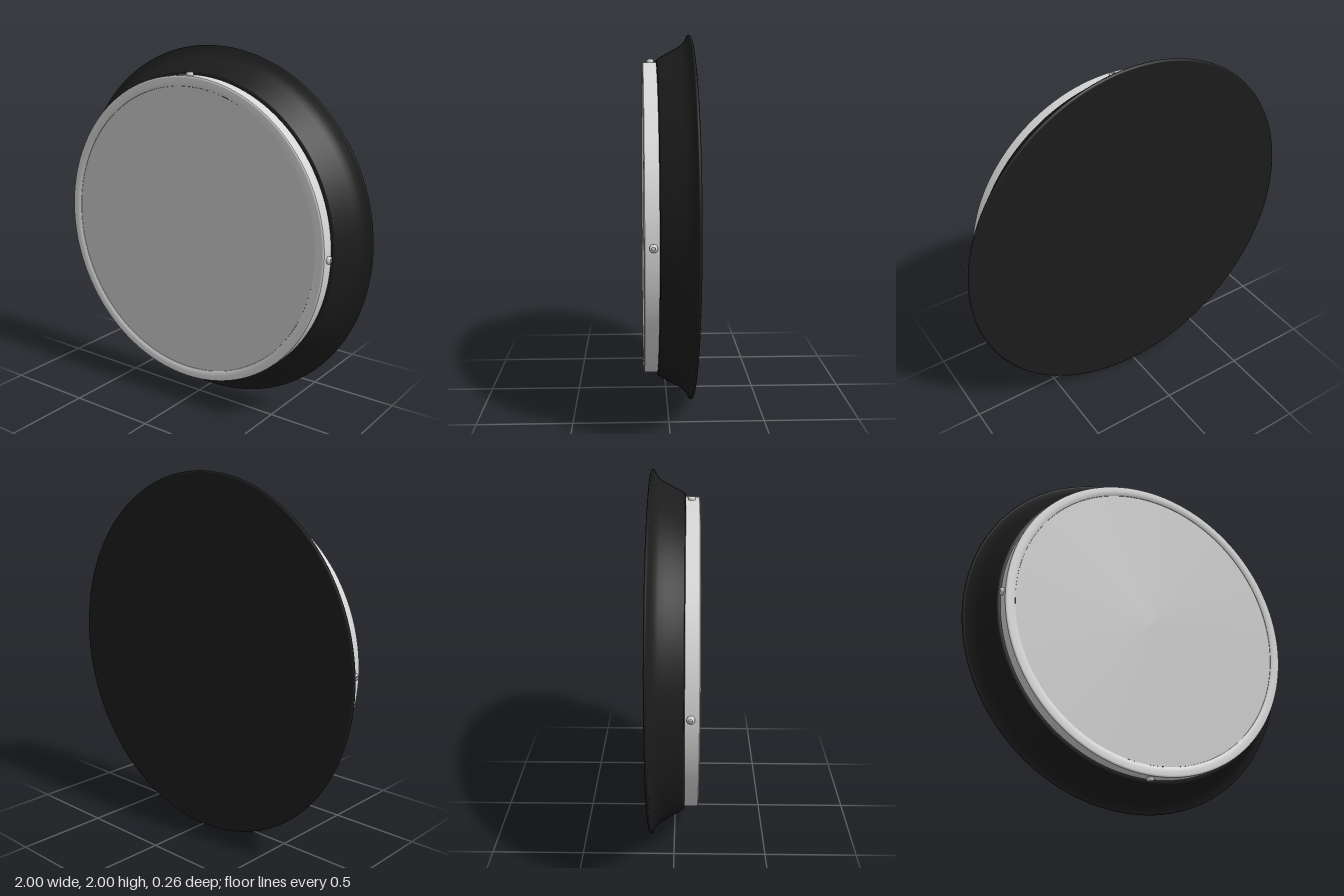
import * as THREE from 'three';

const v = (r, z) => new THREE.Vector2(r, z);

// Revolve sections of (radius, z) points around the z axis; each section is smooth, edges between them stay sharp
function revolve(name, material, sections, segments = 128) {
  const group = new THREE.Group();
  group.name = name;
  sections.forEach((pts) => {
    const geo = new THREE.LatheGeometry(pts.map(([r, z]) => v(r, z)), segments);
    geo.rotateX(Math.PI / 2);
    const mesh = new THREE.Mesh(geo, material);
    mesh.name = name + 'Surface';
    group.add(mesh);
  });
  return group;
}

export function createModel() {
  const black = new THREE.MeshStandardMaterial({ color: 0x1c1c1c });
  black.name = 'matteBlack';
  const silver = new THREE.MeshStandardMaterial({ color: 0xd6d6d6 });
  silver.name = 'silver';
  const grey = new THREE.MeshStandardMaterial({ color: 0xcacaca });
  grey.name = 'panelGrey';

  const model = new THREE.Group();
  model.name = 'roundFixture';
  const body = new THREE.Group();
  body.name = 'body';
  body.position.y = 1;
  model.add(body);

  // Flared black housing: flat back, rolled lip, curved flare, front shoulder
  body.add(revolve('housing', black, [
    [[0, -0.13], [0.99, -0.13]],
    [[0.99, -0.13], [0.997, -0.127], [1, -0.121], [0.997, -0.115], [0.988, -0.112]],
    [[0.988, -0.112], [0.968, -0.1], [0.95, -0.085], [0.936, -0.066], [0.916, -0.03], [0.895, 0.01], [0.872, 0.05]],
    [[0.872, 0.05], [0.862, 0.056], [0.84, 0.056]],
  ]));

  // Bright trim ring with a softly rounded front
  body.add(revolve('trimRing', silver, [
    [[0.855, 0.05], [0.855, 0.125]],
    [[0.855, 0.125], [0.852, 0.129], [0.845, 0.13], [0.825, 0.13], [0.81, 0.127], [0.8, 0.121]],
    [[0.8, 0.121], [0.798, 0.112]],
  ]));

  // Flat front panel
  const panel = new THREE.Mesh(new THREE.CircleGeometry(0.799, 128), grey);
  panel.name = 'frontPanel';
  panel.position.z = 0.119;
  body.add(panel);

  // Four socket-head screws around the trim ring
  for (let i = 0; i < 4; i++) {
    const pivot = new THREE.Group();
    pivot.name = 'screwMount';
    pivot.rotation.z = i * Math.PI / 2;
    const screw = revolve('screw', silver, [
      [[0.02, -0.01], [0.02, 0.01], [0.017, 0.016], [0.009, 0.019]],
      [[0.009, 0.019], [0.008, 0.01]],
      [[0.008, 0.01], [0, 0.01]],
    ], 20);
    screw.rotation.y = Math.PI / 2;
    screw.position.set(0.853, 0, 0.085);
    pivot.add(screw);
    body.add(pivot);
  }
  return model;
}
